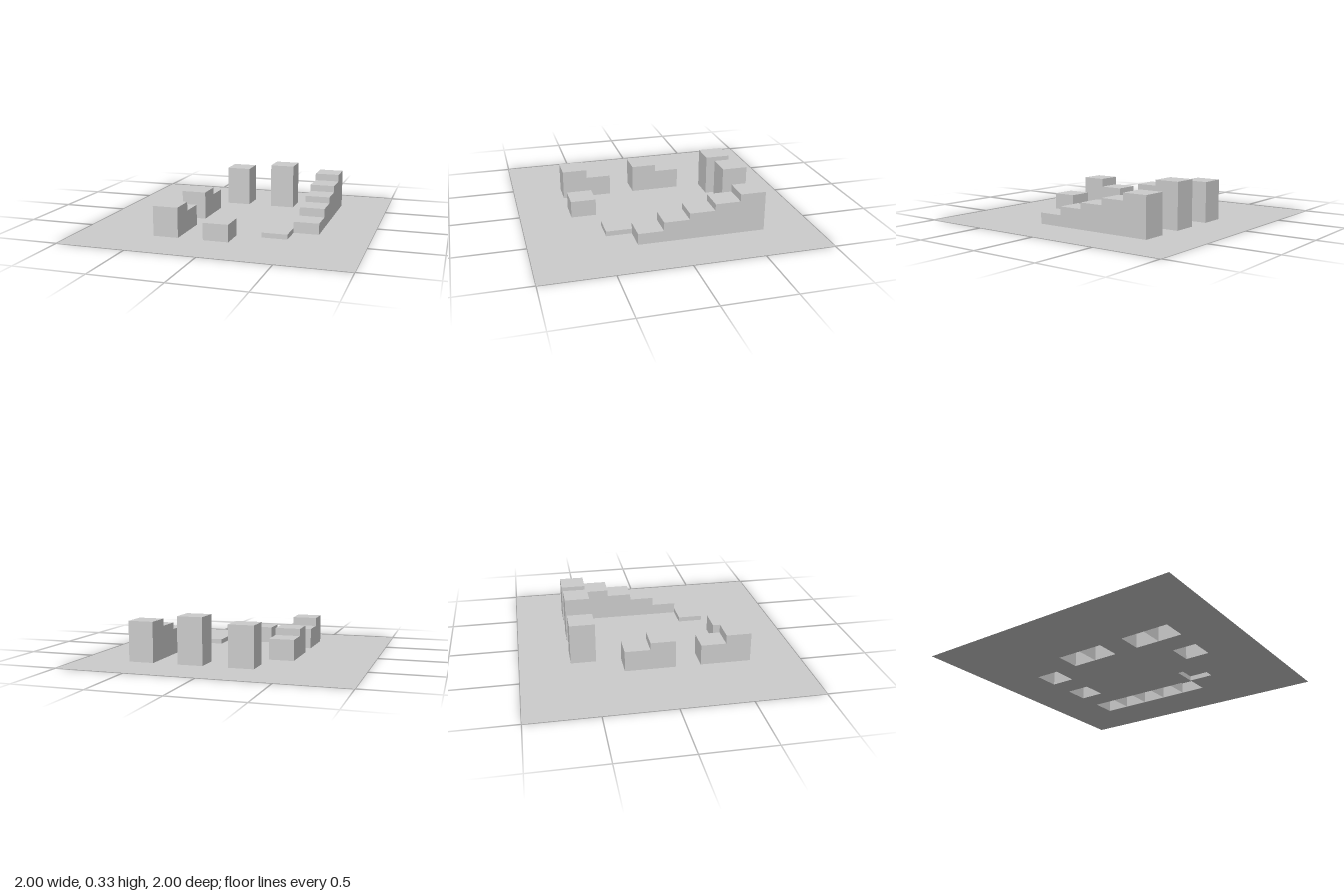
import * as THREE from 'three';
import { mergeGeometries } from 'three/addons/utils/BufferGeometryUtils.js';

const N = 11;          // cells per side
const C = 2 / N;       // cell size

// [column, row, height], cells counted from the centre
const BLOCKS = [
  [2, 2, 0.035], [3, 1, 0.08], [3, 0, 0.142], [3, -1, 0.187], [3, -2, 0.235], [3, -3, 0.287],
  [1, -3, 0.333], [-1, -3, 0.293], [-2, -1, 0.15], [-2, 0, 0.202],
  [-2, 2, 0.15], [-2, 3, 0.213], [0, 3, 0.122],
];

// Box standing on y = 0 with its bottom face left out
function openBlock(h) {
  const g = new THREE.BoxGeometry(C, h, C).translate(0, h / 2, 0);
  const idx = Array.from(g.index.array);
  idx.splice(18, 6);
  g.setIndex(idx);
  g.clearGroups();
  return g;
}

export function createModel() {
  const model = new THREE.Group();
  model.name = 'steppedBlocksOnGround';
  const mat = new THREE.MeshStandardMaterial({
    color: 0xcccccc, flatShading: true, side: THREE.DoubleSide,
  });

  // Flat ground sheet, open beneath each block
  const tiles = [];
  const half = (N - 1) / 2;
  for (let i = -half; i <= half; i++) {
    for (let k = -half; k <= half; k++) {
      if (BLOCKS.some(([a, b]) => a === i && b === k)) continue;
      tiles.push(new THREE.PlaneGeometry(C, C).rotateX(-Math.PI / 2).translate(i * C, 0, k * C));
    }
  }
  const ground = new THREE.Mesh(mergeGeometries(tiles), mat);
  ground.name = 'ground';
  model.add(ground);

  // Hollow blocks of rising and falling height
  const blocks = new THREE.Group();
  blocks.name = 'blocks';
  BLOCKS.forEach(([i, k, h], n) => {
    const block = new THREE.Mesh(openBlock(h), mat);
    block.name = `block${n + 1}`;
    block.position.set(i * C, 0, k * C);
    blocks.add(block);
  });
  model.add(blocks);
  return model;
}
